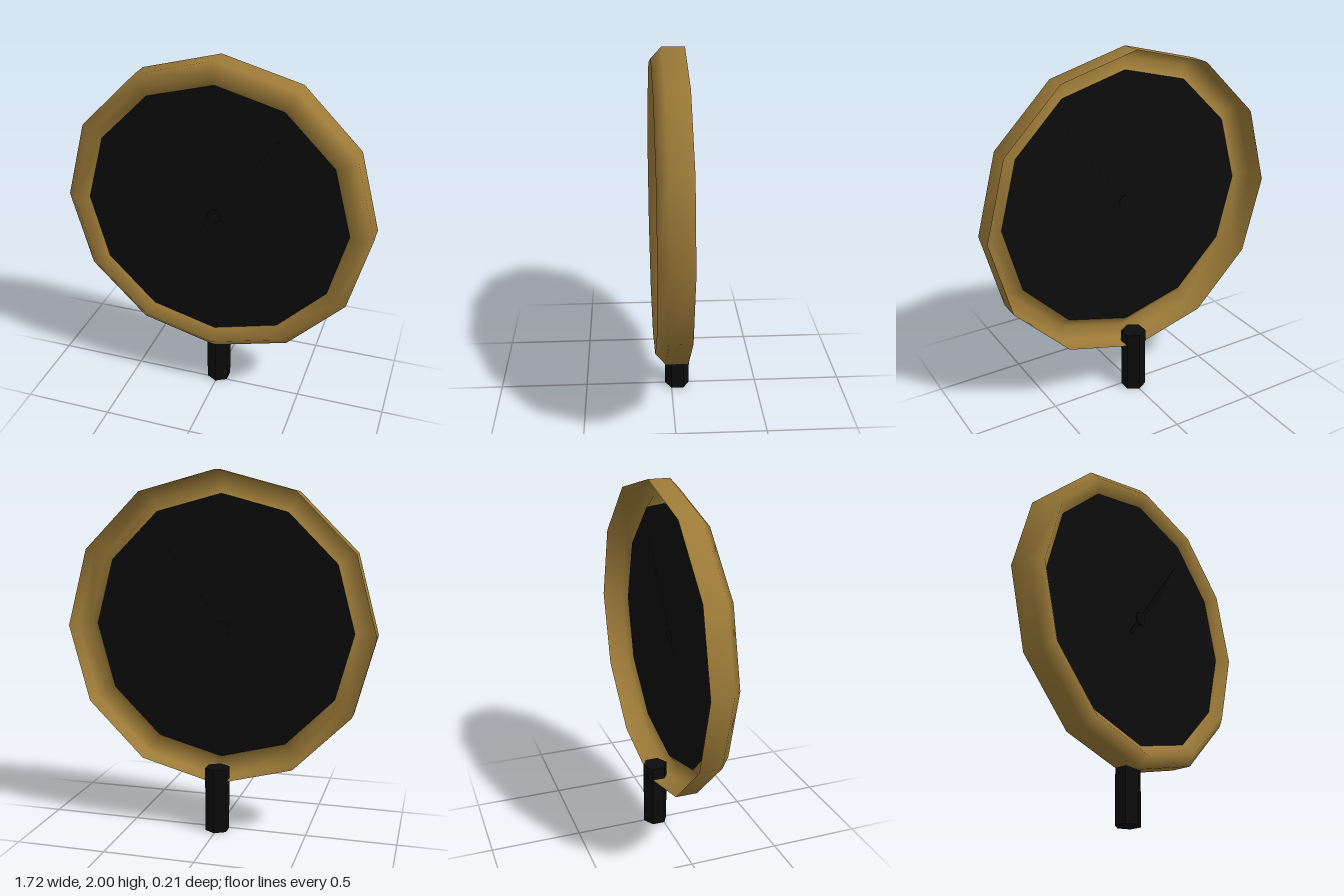
import * as THREE from 'three';

const SIDES = 12;
const CENTRE_Y = 1.14;

export function createModel() {
  const model = new THREE.Group();
  const brass = new THREE.MeshStandardMaterial({ color: 0x9c7a38, side: THREE.DoubleSide });
  const black = new THREE.MeshStandardMaterial({ color: 0x0c0c0c, side: THREE.DoubleSide });
  const blackFlat = new THREE.MeshStandardMaterial({ color: 0x0c0c0c, flatShading: true });

  const add = (name, geometry, material, x, y, z, parent = model) => {
    const mesh = new THREE.Mesh(geometry, material);
    mesh.name = name;
    mesh.position.set(x, y, z);
    parent.add(mesh);
    return mesh;
  };

  // Twelve-sided rim: outer wall, front ridge, slope down to the panel, open at the back
  const profile = [[0.86, -0.07], [0.86, 0.05], [0.8, 0.105], [0.735, 0.05]]
    .map(([r, z]) => new THREE.Vector2(r, z));
  const rim = new THREE.LatheGeometry(profile, SIDES);
  rim.rotateX(Math.PI / 2);
  add('rim', rim, brass, 0, CENTRE_Y, 0);

  // Dark panel closing the rim
  add('panel', new THREE.CircleGeometry(0.735, SIDES), black, 0, CENTRE_Y, 0.05);

  // Slim pointer with a small hub, lying on the panel
  const pointer = new THREE.Group();
  pointer.name = 'pointer';
  pointer.position.set(0, CENTRE_Y, 0.052);
  pointer.rotation.z = THREE.MathUtils.degToRad(54);
  model.add(pointer);
  add('pointerNeedle', new THREE.BoxGeometry(0.72, 0.018, 0.006), blackFlat, 0.22, 0, 0, pointer);
  const hub = new THREE.CylinderGeometry(0.04, 0.04, 0.01, 8);
  hub.rotateX(Math.PI / 2);
  add('pointerHub', hub, blackFlat, 0, 0, 0, pointer);

  // Hexagonal post behind the rim
  add('post', new THREE.CylinderGeometry(0.07, 0.07, 0.365, 6), blackFlat, 0, 0.1825, -0.035);

  return model;
}
